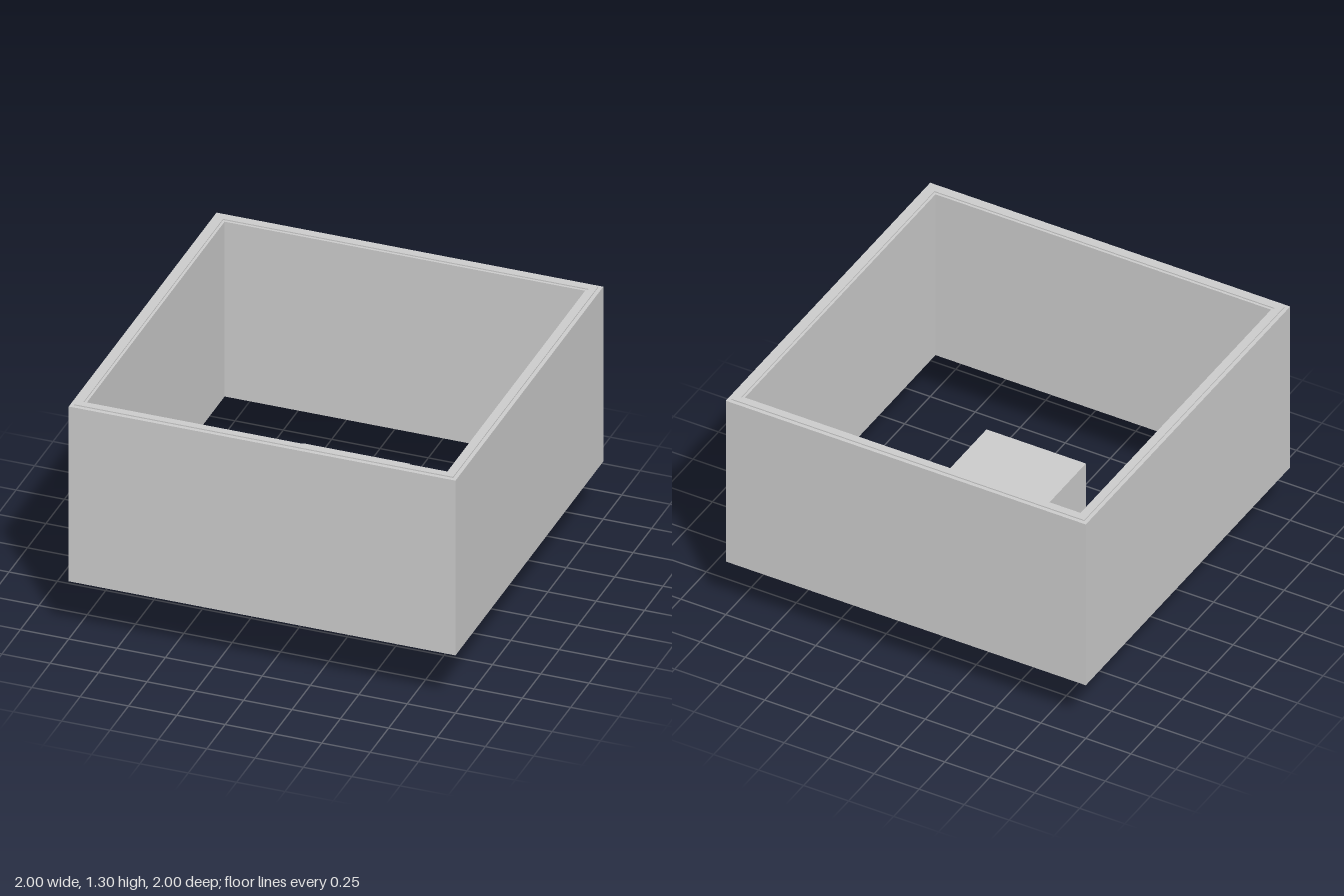
import * as THREE from 'three';

const material = new THREE.MeshStandardMaterial({ color: 0xcccccc, flatShading: true });

// Square frame with an open middle, standing between two heights
function squareFrame(name, outer, inner, bottom, top) {
  const square = (path, r) => path.moveTo(-r, -r).lineTo(r, -r).lineTo(r, r).lineTo(-r, r).closePath();
  const shape = square(new THREE.Shape(), outer);
  shape.holes.push(square(new THREE.Path(), inner));
  const geometry = new THREE.ExtrudeGeometry(shape, { depth: top - bottom, bevelEnabled: false });
  geometry.rotateX(-Math.PI / 2).translate(0, bottom, 0);
  const mesh = new THREE.Mesh(geometry, material);
  mesh.name = name;
  return mesh;
}

export function createModel() {
  const model = new THREE.Group();
  model.name = 'squareShadeLamp';

  // Open shade walls
  model.add(squareFrame('shade', 1, 0.932, 0.322, 1.298));

  // Slightly raised trim along both rims
  model.add(squareFrame('topTrim', 0.98, 0.945, 1.29, 1.304));
  model.add(squareFrame('bottomTrim', 0.98, 0.945, 0.316, 0.33));

  // Cube base reaching up inside the shade
  const size = 0.552;
  const base = new THREE.Mesh(new THREE.BoxGeometry(size, size, size), material);
  base.name = 'base';
  base.position.y = size / 2;
  model.add(base);

  return model;
}
